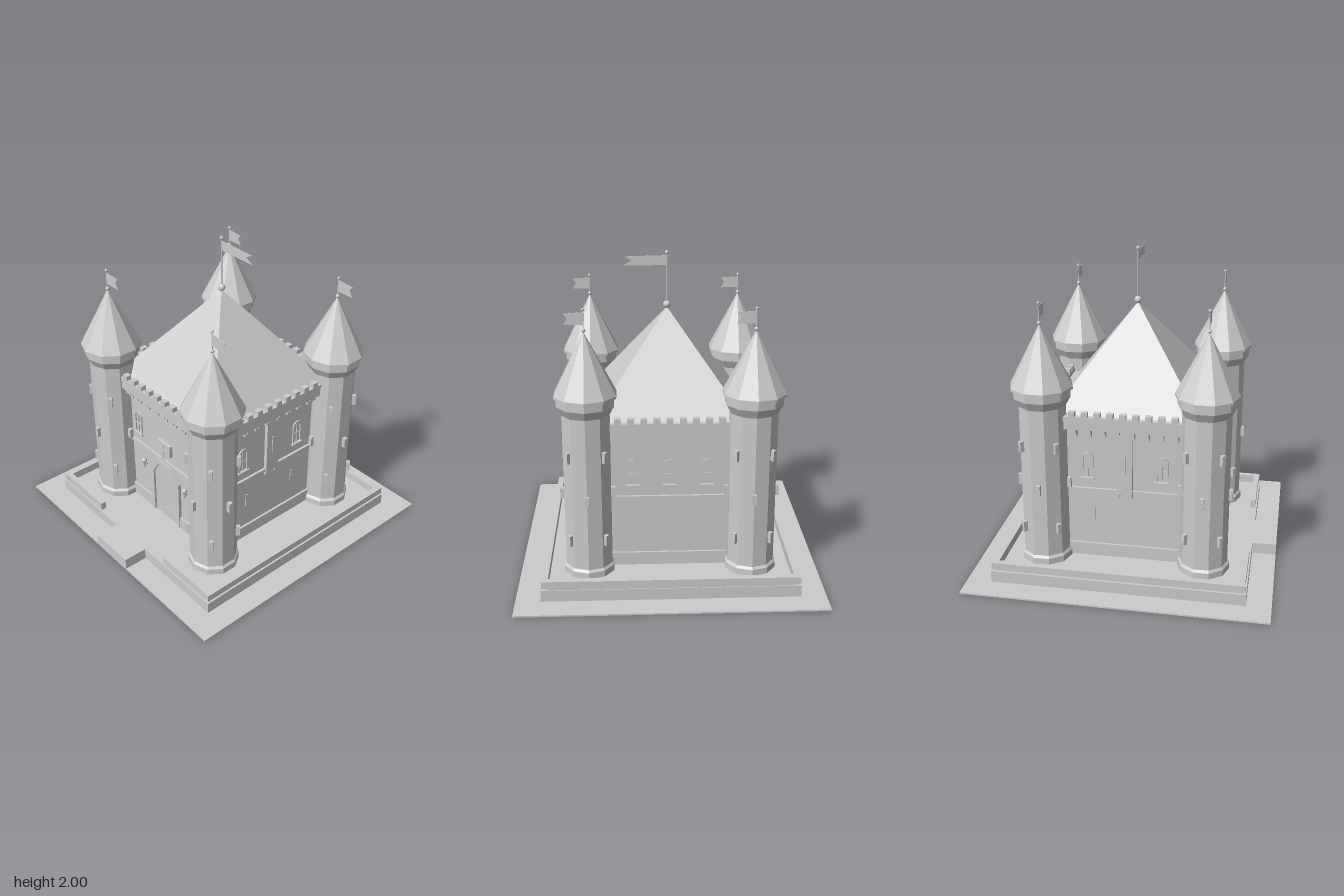
import * as THREE from 'three';

export function createModel() {
  const stone = new THREE.MeshStandardMaterial({ color: 0xcccccc, flatShading: true });
  stone.name = 'pale stone';
  const root = new THREE.Group();
  root.name = 'castle';

  const add = (parent, name, geo, x = 0, y = 0, z = 0) => {
    const m = new THREE.Mesh(geo, stone);
    m.name = name;
    m.position.set(x, y, z);
    parent.add(m);
    return m;
  };
  // Box given by its limits on each axis
  const box = (parent, name, x0, x1, y0, y1, z0, z1) =>
    add(parent, name, new THREE.BoxGeometry(x1 - x0, y1 - y0, z1 - z0), (x0 + x1) / 2, (y0 + y1) / 2, (z0 + z1) / 2);
  const plate = (parent, name, pts, depth, x = 0, y = 0, z = 0, hole) => {
    const s = new THREE.Shape(pts.map(p => new THREE.Vector2(...p)));
    if (hole) s.holes.push(new THREE.Path(hole.map(p => new THREE.Vector2(...p))));
    return add(parent, name, new THREE.ExtrudeGeometry(s, { depth, bevelEnabled: false }), x, y, z);
  };
  const group = (parent, name) => {
    const g = new THREE.Group();
    g.name = name;
    parent.add(g);
    return g;
  };
  // Pole with a ball at foot and tip and a swallow-tailed flag
  const flagPole = (parent, y0, y1, ball, tip, r, len, h, drop) => {
    const g = group(parent, 'flagPole');
    add(g, 'footBall', new THREE.SphereGeometry(ball, 10, 8), 0, y0, 0);
    add(g, 'pole', new THREE.CylinderGeometry(r, r, y1 - y0, 8), 0, (y0 + y1) / 2, 0);
    add(g, 'tipBall', new THREE.SphereGeometry(tip, 8, 6), 0, y1 - tip, 0);
    const top = y1 - drop;
    plate(g, 'flag', [[0, top - h], [len, top - h], [len * 0.8, top - h * 0.5], [len, top - h * 0.1], [0, top]], 0.004, 0, 0, -0.002);
  };

  // Ground, plinth, entrance block and low boundary wall
  box(root, 'ground', -0.95, 0.95, 0, 0.01, -0.95, 0.95);
  box(root, 'plinth', -0.795, 0.795, 0.001, 0.085, -0.795, 0.795);
  box(root, 'entranceStep', -0.16, 0.16, 0.001, 0.085, 0.79, 0.95);
  const rail = group(root, 'boundaryWall');
  for (const s of [-1, 1]) {
    const span = (a, b) => [Math.min(s * a, s * b), Math.max(s * a, s * b)];
    box(rail, 'sideWallFoot', ...span(0.75, 0.78), 0.085, 0.1, -0.78, 0.78);
    box(rail, 'sideWall', ...span(0.75, 0.79), 0.095, 0.14, -0.79, 0.79);
    box(rail, 'frontWall', ...span(0.345, 0.75), 0.085, 0.14, 0.75, 0.785);
  }
  box(rail, 'backWall', -0.75, 0.75, 0.085, 0.14, -0.79, -0.75);

  // Keep and pyramid roof
  box(root, 'keep', -0.475, 0.475, 0.08, 1.03, -0.475, 0.475);
  const roof = new THREE.ConeGeometry(0.475 * Math.SQRT2, 0.615, 4);
  roof.rotateY(Math.PI / 4);
  add(root, 'mainRoof', roof, 0, 1.03 + 0.3075, 0);
  flagPole(root, 1.66, 2, 0.024, 0.012, 0.005, 0.27, 0.062, 0.03);

  // Arched outline, centred on x, standing on y = 0
  const arch = (w, h) => {
    const p = [[-w, 0], [w, 0]];
    for (let i = 0; i <= 8; i++) {
      const a = i * Math.PI / 8;
      p.push([w * Math.cos(a), h - w + w * Math.sin(a)]);
    }
    return p;
  };
  const archWindow = (wall, x) => {
    const g = group(wall, 'archedWindow');
    plate(g, 'frame', arch(0.037, 0.165), 0.009, x, 0.635, 0.475, arch(0.027, 0.152));
    box(g, 'mullion', x - 0.003, x + 0.003, 0.635, 0.785, 0.475, 0.481);
    box(g, 'transom', x - 0.027, x + 0.027, 0.7, 0.706, 0.475, 0.481);
    box(g, 'sill', x - 0.045, x + 0.045, 0.62, 0.632, 0.475, 0.492);
  };

  // Four wall faces, each built facing +z and turned into place
  ['front', 'left', 'back', 'right'].forEach((side, k) => {
    const wall = group(root, side + 'Wall');
    wall.rotation.y = k * Math.PI / 2;
    const isFront = side === 'front', isBack = side === 'back';

    // Parapet, merlons and corbels
    box(wall, 'walkway', -0.42, 0.42, 0.97, 1.03, 0.47, 0.54);
    box(wall, 'parapet', -0.42, 0.42, 1.03, 1.055, 0.51, 0.545);
    for (let i = -4; i <= 4; i++)
      box(wall, 'merlon', i * 0.079 - 0.02, i * 0.079 + 0.02, 1.05, 1.087, 0.51, 0.545);
    for (let i = -3.5; i <= 3.5; i++) {
      box(wall, 'corbel', i * 0.09 - 0.022, i * 0.09 + 0.022, 0.945, 0.972, 0.47, 0.53);
      box(wall, 'corbelFoot', i * 0.09 - 0.022, i * 0.09 + 0.022, 0.912, 0.946, 0.47, 0.508);
    }

    // String course and base course
    box(wall, 'stringCourse', -0.42, 0.42, 0.54, 0.56, 0.47, 0.492);
    const gap = isFront ? 0.145 : 0;
    box(wall, 'baseCourse', -0.42, -gap, 0.08, 0.17, 0.47, 0.49);
    box(wall, 'baseCourse', gap, 0.42, 0.08, 0.17, 0.47, 0.49);

    // Windows
    const xs = isFront ? [-0.285, 0.285] : isBack ? [-0.23, 0, 0.23] : [-0.235, 0.235];
    xs.forEach(x => archWindow(wall, x));

    // Side walls: central buttress and lower slits
    if (!isFront && !isBack) {
      box(wall, 'buttress', -0.05, 0.05, 0.535, 0.97, 0.47, 0.5);
      for (const s of [-1, 1]) {
        box(wall, 'buttressBracket', s * 0.04 - 0.01, s * 0.04 + 0.01, 0.512, 0.54, 0.47, 0.495);
        box(wall, 'arrowSlit', s * 0.2 - 0.008, s * 0.2 + 0.008, 0.33, 0.42, 0.47, 0.481);
      }
      box(wall, 'buttressSlit', -0.008, 0.008, 0.68, 0.8, 0.495, 0.506);
    }

    // Front wall: gate, shield and wall lamps
    if (isFront) {
      const gate = w => [[-w, 0.085], [w, 0.085], [w, 0.295 + w], [w / 2, 0.39 + w], [-w / 2, 0.39 + w], [-w, 0.295 + w]];
      plate(wall, 'gateFrame', gate(0.145), 0.022, 0, 0, 0.475, gate(0.118));
      plate(wall, 'gate', gate(0.118), 0.008, 0, 0, 0.475);
      for (const x of [-0.06, -0.02, 0.02, 0.06])
        for (const y of [0.18, 0.29, 0.4])
          add(wall, 'gateStud', new THREE.SphereGeometry(0.006, 6, 4), x, y, 0.484);
      const shield = [[0, 0.567], [0.066, 0.62], [0.066, 0.705], [-0.066, 0.705], [-0.066, 0.62]];
      plate(wall, 'shield', shield, 0.022, 0, 0, 0.475);
      box(wall, 'shieldBar', -0.05, 0.05, 0.65, 0.66, 0.495, 0.501);
      box(wall, 'shieldPost', -0.005, 0.005, 0.59, 0.695, 0.495, 0.501);
      for (const x of [-0.215, 0.215]) {
        add(wall, 'lampFlame', new THREE.SphereGeometry(0.018, 8, 6), x, 0.447, 0.5);
        add(wall, 'lampHolder', new THREE.CylinderGeometry(0.013, 0.006, 0.05, 8), x, 0.413, 0.5);
        box(wall, 'lampBracket', x - 0.004, x + 0.004, 0.405, 0.415, 0.47, 0.5);
      }
    }
  });

  // Four ten-sided corner towers
  const shaft = [[0, 0.08], [0.163, 0.08], [0.163, 0.125], [0.15, 0.14], [0.15, 1.12], [0.18, 1.175], [0.18, 1.226], [0, 1.226]];
  const cap = [[0, 1.224], [0.195, 1.224], [0.195, 1.24], [0, 1.62]];
  const lathe = pts => new THREE.LatheGeometry(pts.map(p => new THREE.Vector2(...p)), 10);
  for (const sx of [-1, 1]) for (const sz of [-1, 1]) {
    const tower = group(root, 'cornerTower');
    tower.position.set(sx * 0.505, 0, sz * 0.505);
    add(tower, 'shaft', lathe(shaft));
    add(tower, 'towerRoof', lathe(cap));
    flagPole(tower, 1.625, 1.758, 0.013, 0.01, 0.004, 0.115, 0.075, 0.025);
    // Slit windows in three staggered rings
    [[0.325, 45], [0.6, 0], [0.87, 45]].forEach(([y, turn]) => {
      for (let i = 0; i < 4; i++) {
        const a = turn * Math.PI / 180 + i * Math.PI / 2;
        const w = add(tower, 'slitWindow', new THREE.BoxGeometry(0.026, 0.068, 0.034), Math.sin(a) * 0.152, y, Math.cos(a) * 0.152);
        w.rotation.y = a;
      }
    });
  }
  return root;
}
